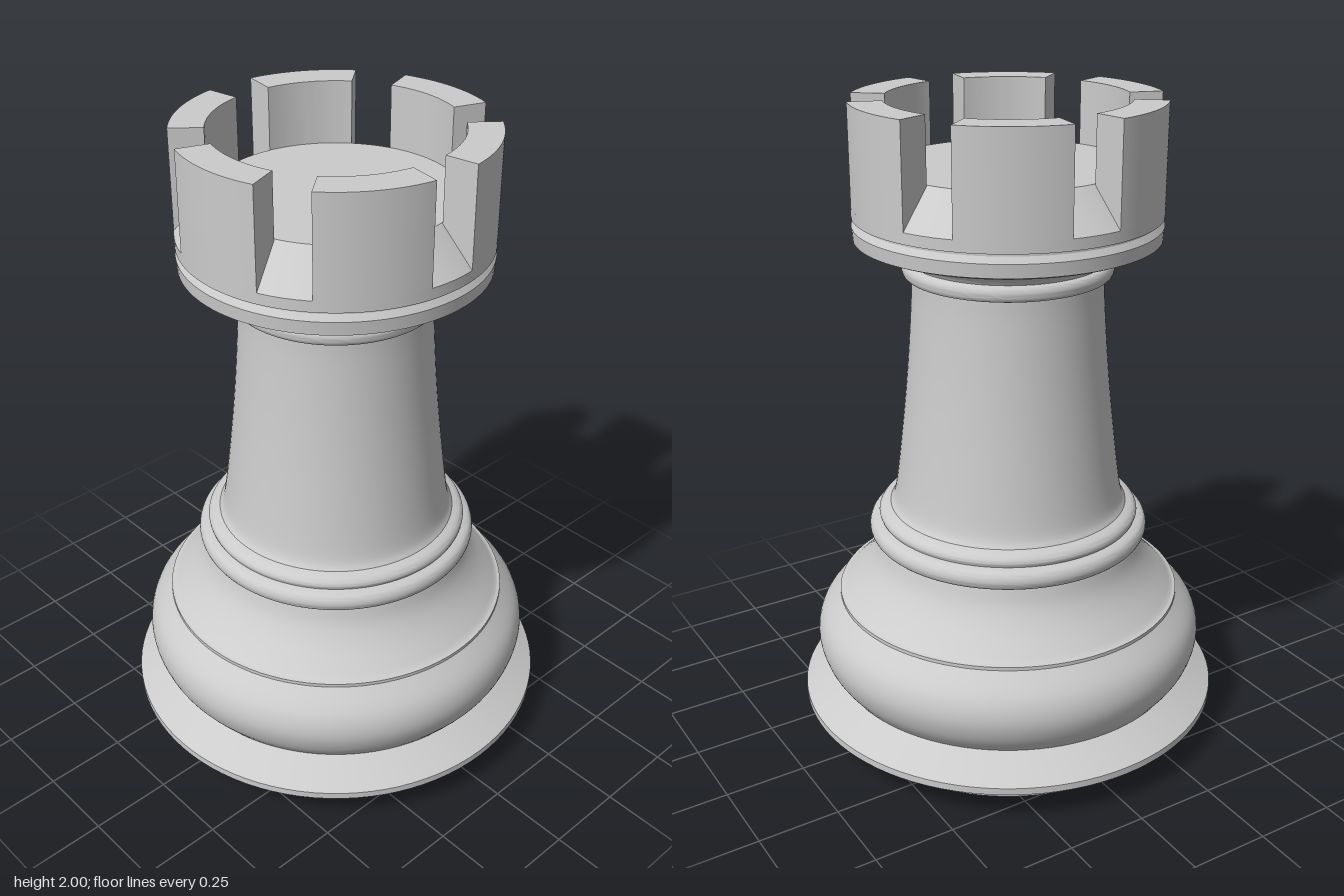
import * as THREE from 'three';
import { toCreasedNormals } from 'three/addons/utils/BufferGeometryUtils.js';

const material = new THREE.MeshStandardMaterial({ color: 0xcccccc });

function addMesh(group, name, geometry, crease = 0.5) {
  const mesh = new THREE.Mesh(toCreasedNormals(geometry, crease), material);
  mesh.name = name;
  group.add(mesh);
  return mesh;
}

// Turned part from [radius, height] pairs listed bottom to top
function turned(group, name, profile) {
  const points = profile.map(([r, y]) => new THREE.Vector2(r, y));
  return addMesh(group, name, new THREE.LatheGeometry(points, 96));
}

// Smooth curve through a few [radius, height] pairs
function curve(pairs, divisions) {
  const spline = new THREE.SplineCurve(pairs.map(([r, y]) => new THREE.Vector2(r, y)));
  return spline.getPoints(divisions).map(p => [p.x, p.y]);
}

export function createModel() {
  const group = new THREE.Group();
  group.name = 'rook';

  // Foot with flared rim
  turned(group, 'foot', [
    [0, 0], [0.535, 0], [0.54, 0.025], [0.665, 0.105], [0.665, 0.127], [0.56, 0.185],
  ]);

  // Bulging base and the concave shoulder above it
  turned(group, 'bulge', curve([
    [0.56, 0.185], [0.597, 0.24], [0.615, 0.31], [0.598, 0.38], [0.54, 0.447],
  ], 20));
  turned(group, 'shoulder', [
    [0.54, 0.447], [0.54, 0.458], [0.53, 0.46],
    ...curve([[0.528, 0.461], [0.465, 0.525], [0.425, 0.585], [0.407, 0.645]], 12),
  ]);

  // Double ring at the bottom of the shaft
  turned(group, 'lowerRing', curve([
    [0.407, 0.645], [0.428, 0.652], [0.437, 0.675], [0.428, 0.7], [0.402, 0.71],
  ], 14));
  turned(group, 'lowerBead', [
    ...curve([[0.402, 0.71], [0.406, 0.725], [0.395, 0.742], [0.37, 0.752]], 10),
  ]);

  // Tapering shaft
  turned(group, 'shaft', curve([
    [0.37, 0.752], [0.352, 0.8], [0.326, 1.0], [0.305, 1.2], [0.29, 1.4], [0.287, 1.488],
  ], 30));

  // Neck ring and flare under the head
  turned(group, 'neckRing', curve([
    [0.287, 1.485], [0.308, 1.488], [0.316, 1.508], [0.31, 1.528], [0.296, 1.533],
  ], 12));
  turned(group, 'neckFlare', [
    ...curve([[0.296, 1.533], [0.308, 1.55], [0.34, 1.572]], 8),
    [0.345, 1.578], [0.435, 1.592],
  ]);

  // Collar, groove and platform with an outward sloping edge
  turned(group, 'collar', [
    [0.435, 1.592], [0.454, 1.6], [0.457, 1.64], [0.445, 1.658], [0.445, 1.667],
  ]);
  turned(group, 'platform', [
    [0.445, 1.667], [0.457, 1.667], [0.457, 1.7], [0.355, 1.81], [0, 1.81],
  ]);

  // Six battlements standing on the platform edge
  const half = THREE.MathUtils.degToRad(20.4);
  const sector = new THREE.Shape();
  sector.absarc(0, 0, 0.457, -half, half, false);
  sector.absarc(0, 0, 0.357, half, -half, true);
  sector.closePath();
  const block = new THREE.ExtrudeGeometry(sector, { depth: 0.3, bevelEnabled: false, curveSegments: 14 });
  block.rotateX(-Math.PI / 2);
  for (let i = 0; i < 6; i++) {
    const battlement = addMesh(group, 'battlement' + (i + 1), block);
    battlement.position.y = 1.7;
    battlement.rotation.y = Math.PI / 6 + i * Math.PI / 3;
  }

  return group;
}
